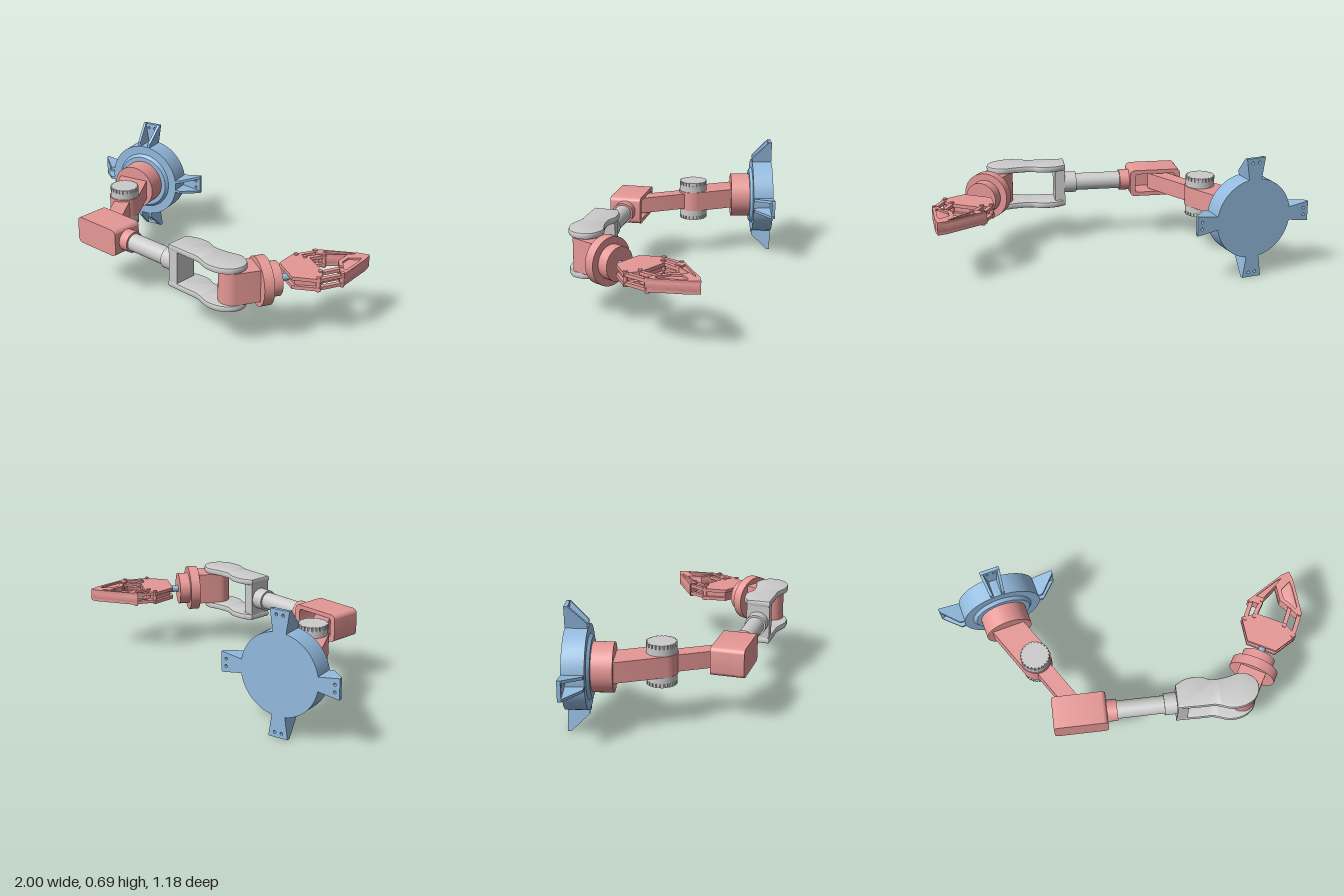
import * as THREE from 'three';
import { toCreasedNormals } from 'three/addons/utils/BufferGeometryUtils.js';

const pink = new THREE.MeshStandardMaterial({ color: 0xe69896 });
const blue = new THREE.MeshStandardMaterial({ color: 0x93bbdf });
const grey = new THREE.MeshStandardMaterial({ color: 0xcccccc });

function add(parent, name, geo, mat, x = 0, y = 0, z = 0) {
  const m = new THREE.Mesh(geo, mat);
  m.name = name;
  m.position.set(x, y, z);
  parent.add(m);
  return m;
}

// Group whose local x axis points along a plan angle (degrees from +x towards +z)
function joint(parent, name, x, y, z, deg) {
  const g = new THREE.Group();
  g.name = name;
  g.position.set(x, y, z);
  g.rotation.y = -THREE.MathUtils.degToRad(deg);
  parent.add(g);
  return g;
}

const poly = (pts) => new THREE.Shape(pts.map((p) => new THREE.Vector2(...p)));

// Extrude a plan shape (x, z) vertically between y0 and y1
function slab(shape, y0, y1, bevel = 0) {
  const g = new THREE.ExtrudeGeometry(shape, {
    depth: y1 - y0 - 2 * bevel, curveSegments: 24, bevelEnabled: bevel > 0,
    bevelSize: bevel, bevelThickness: bevel, bevelOffset: -bevel, bevelSegments: 2,
  });
  g.rotateX(Math.PI / 2).translate(0, y1 - bevel, 0);
  return toCreasedNormals(g, 0.5);
}

// Bar along x from x0 to x1 with a round end at x1
function roundEnd(x0, x1, r) {
  const s = new THREE.Shape();
  s.moveTo(x0, -r);
  s.lineTo(x1, -r);
  s.absarc(x1, 0, r, -Math.PI / 2, Math.PI / 2, false);
  s.lineTo(x0, r);
  s.closePath();
  return s;
}

function roundRect(w, h, r, Type = THREE.Shape) {
  const s = new Type(), x = w / 2 - r, y = h / 2 - r;
  s.absarc(x, y, r, 0, Math.PI / 2, false);
  s.absarc(-x, y, r, Math.PI / 2, Math.PI, false);
  s.absarc(-x, -y, r, Math.PI, 1.5 * Math.PI, false);
  s.absarc(x, -y, r, 1.5 * Math.PI, 2 * Math.PI, false);
  s.closePath();
  return s;
}

// Cylinder lying along local x from x0 to x1
function rod(parent, name, mat, r, x0, x1) {
  const g = new THREE.CylinderGeometry(r, r, x1 - x0, 48).rotateZ(Math.PI / 2);
  return add(parent, name, g, mat, (x0 + x1) / 2);
}

// Straight strut in plan between two points
function strut(parent, name, a, b, w, y, h) {
  const dx = b[0] - a[0], dz = b[1] - a[1];
  const m = add(parent, name, new THREE.BoxGeometry(Math.hypot(dx, dz), h, w), pink,
    (a[0] + b[0]) / 2, y, (a[1] + b[1]) / 2);
  m.rotation.y = -Math.atan2(dz, dx);
}

// Wall base: stepped disc with four gusseted feet
function buildBase(root) {
  const base = new THREE.Group();
  base.name = 'base';
  base.position.set(-0.655, 0.348, -0.595);
  root.add(base);
  const profile = [[0, 0], [0.227, 0], [0.227, 0.12], [0.175, 0.12], [0.16, 0.137], [0, 0.137]];
  const disc = new THREE.LatheGeometry(profile.map((p) => new THREE.Vector2(...p)), 64);
  add(base, 'baseDisc', toCreasedNormals(disc.rotateX(Math.PI / 2), 0.5), blue);

  const floor = poly([[0.2, -0.035], [0.345, -0.057], [0.345, 0.057], [0.2, 0.035]]);
  for (const s of [-1, 1]) {
    floor.holes.push(new THREE.Path().absarc(0.318, s * 0.02, 0.008, 0, Math.PI * 2, true));
  }
  const floorGeo = new THREE.ExtrudeGeometry(floor, { depth: 0.02, bevelEnabled: false });
  const gusset = poly([[0, 0], [0.147, 0], [0.147, 0.02], [0.052, 0.117], [0, 0.117]]);
  const gussetGeo = new THREE.ExtrudeGeometry(gusset, { depth: 0.016, bevelEnabled: false });
  gussetGeo.translate(0, 0, -0.008).rotateX(Math.PI / 2);
  for (let i = 0; i < 4; i++) {
    const foot = new THREE.Group();
    foot.name = 'foot';
    foot.rotation.z = (i * Math.PI) / 2;
    base.add(foot);
    add(foot, 'footPlate', floorGeo, blue);
    for (const s of [-1, 1]) {
      add(foot, 'footGusset', gussetGeo, blue, 0.2, s * 0.027, 0).rotation.z = s * 0.15;
    }
  }
  const turret = new THREE.CylinderGeometry(0.133, 0.133, 0.13, 64).rotateX(Math.PI / 2);
  add(base, 'turret', turret, pink, 0, 0, 0.185);
}

// Shoulder: two in-line links clamped by a pair of toothed knobs
function buildShoulder(root) {
  const arm = joint(root, 'shoulder', -0.572, 0, -0.107, 70.5);
  add(arm, 'shoulderLink', slab(roundEnd(-0.3, 0, 0.088), 0.292, 0.408), pink);
  add(arm, 'upperLink', slab(roundEnd(0, 0.37, 0.046), 0.303, 0.397), pink);
  for (const s of [-1, 1]) {
    const knob = new THREE.Group();
    knob.name = 'shoulderKnob';
    knob.position.y = 0.35;
    knob.scale.y = 1;
    knob.rotation.x = s < 0 ? Math.PI : 0;
    arm.add(knob);
    add(knob, 'knobBody', new THREE.CylinderGeometry(0.083, 0.083, 0.038, 48), grey, 0, 0.077, 0);
    add(knob, 'knobCap', new THREE.CylinderGeometry(0.076, 0.076, 0.022, 48), grey, 0, 0.106, 0);
    for (let i = 0; i < 24; i++) {
      const a = (i / 24) * Math.PI * 2;
      const tooth = add(knob, 'knobTooth', new THREE.BoxGeometry(0.012, 0.022, 0.015), grey,
        0.077 * Math.cos(a), 0.106, 0.077 * Math.sin(a));
      tooth.rotation.y = -a;
    }
  }
}

// Elbow housing open at the back, shaft and two-plate fork
function buildForearm(root) {
  const arm = joint(root, 'forearm', -0.444, 0.353, 0.273, 14);
  const frame = roundRect(0.305, 0.16, 0.028);
  frame.holes.push(roundRect(0.24, 0.112, 0.015, THREE.Path));
  const opts = (depth) => ({ depth, bevelEnabled: false, curveSegments: 8 });
  const housing = new THREE.ExtrudeGeometry(frame, opts(0.13));
  add(arm, 'elbowHousing', toCreasedNormals(housing, 0.5), pink, 0, 0, -0.0925);
  const front = new THREE.ExtrudeGeometry(roundRect(0.305, 0.16, 0.028), opts(0.055));
  add(arm, 'elbowFront', toCreasedNormals(front, 0.5), pink, 0, 0, 0.0375);
  rod(arm, 'elbowCollar', pink, 0.062, 0.15, 0.21);
  rod(arm, 'forearmShaft', grey, 0.051, 0.2, 0.49);
  rod(arm, 'forkCollar', grey, 0.062, 0.475, 0.56);
  add(arm, 'forkBack', new THREE.BoxGeometry(0.06, 0.25, 0.135), grey, 0.575, 0.002, 0);

  const outline = [[0.1, 0.34], [0.165, 0.326], [0.245, 0.342], [0.3, 0.38], [0.38, 0.396],
    [0.47, 0.402], [0.527, 0.45], [0.535, 0.508], [0.5, 0.563], [0.433, 0.588], [0.353, 0.577],
    [0.273, 0.529], [0.2, 0.508], [0.064, 0.471]].map((p) => new THREE.Vector2(...p));
  const plate = new THREE.Shape();
  plate.moveTo(outline[0].x, outline[0].y);
  plate.splineThru(outline.slice(1));
  plate.closePath();
  for (const y of [0.224, 0.446]) add(root, 'forkPlate', slab(plate, y, y + 0.037, 0.01), grey);
}

// Wrist block, flange discs and thin spindle
function buildWrist(root) {
  const wrist = joint(root, 'wrist', 0.46, 0.345, 0.49, -46);
  const block = slab(roundEnd(-0.15, 0, 0.075), -0.085, 0.1).rotateY(Math.PI);
  add(wrist, 'wristBlock', block, pink);
  rod(wrist, 'wristFlange', pink, 0.135, 0.131, 0.188);
  rod(wrist, 'wristHub', pink, 0.095, 0.188, 0.25);
  rod(wrist, 'wristSpindle', blue, 0.02, 0.25, 0.35);
}

// Gripper: layered palm, paired struts and two pointed fingers
function buildGripper(root) {
  const grip = new THREE.Group();
  grip.name = 'gripper';
  root.add(grip);
  const palm = poly([[0.625, 0.064], [0.715, 0.075], [0.845, 0.193], [0.872, 0.283],
    [0.727, 0.326], [0.6, 0.21]]);
  for (const y of [0.311, 0.362]) add(grip, 'palmPlate', slab(palm, y, y + 0.02), pink);
  const core = poly([[0.64, 0.09], [0.7, 0.09], [0.82, 0.2], [0.84, 0.27], [0.735, 0.31], [0.62, 0.205]]);
  add(grip, 'palmCore', slab(core, 0.33, 0.363), pink);

  const fingers = [
    [[0.695, -0.018], [0.945, -0.097], [0.995, -0.1], [0.888, -0.045], [0.797, 0], [0.75, 0.025]],
    [[0.995, -0.1], [0.995, -0.043], [0.957, 0.171], [0.935, 0.18], [0.905, 0.11], [0.872, 0.048], [0.888, -0.048]],
  ];
  for (const pts of fingers) {
    const shape = poly(pts);
    // central web between two rims
    add(grip, 'fingerWeb', slab(shape, 0.325, 0.375, 0.004), pink);
    const hole = pts.map((p) => {
      const c = pts.reduce((s, q) => [s[0] + q[0] / pts.length, s[1] + q[1] / pts.length], [0, 0]);
      return new THREE.Vector2(c[0] + (p[0] - c[0]) * 0.6, c[1] + (p[1] - c[1]) * 0.6);
    });
    shape.holes.push(new THREE.Path(hole));
    add(grip, 'fingerRim', slab(shape, 0.314, 0.386), pink);
  }
  const struts = [
    [[0.64, 0.08], [0.717, -0.01]], [[0.695, 0.085], [0.775, 0.008]],
    [[0.855, 0.275], [0.945, 0.166]], [[0.834, 0.2], [0.912, 0.105]],
  ];
  for (const [a, b] of struts) {
    for (const y of [0.325, 0.372]) strut(grip, 'fingerStrut', a, b, 0.024, y, 0.018);
    for (const p of [a, b]) {
      add(grip, 'strutPin', new THREE.CylinderGeometry(0.012, 0.012, 0.084, 16), pink, p[0], 0.348, p[1]);
    }
  }
}

export function createModel() {
  const root = new THREE.Group();
  root.name = 'robotArm';
  buildBase(root);
  buildShoulder(root);
  buildForearm(root);
  buildWrist(root);
  buildGripper(root);
  return root;
}
